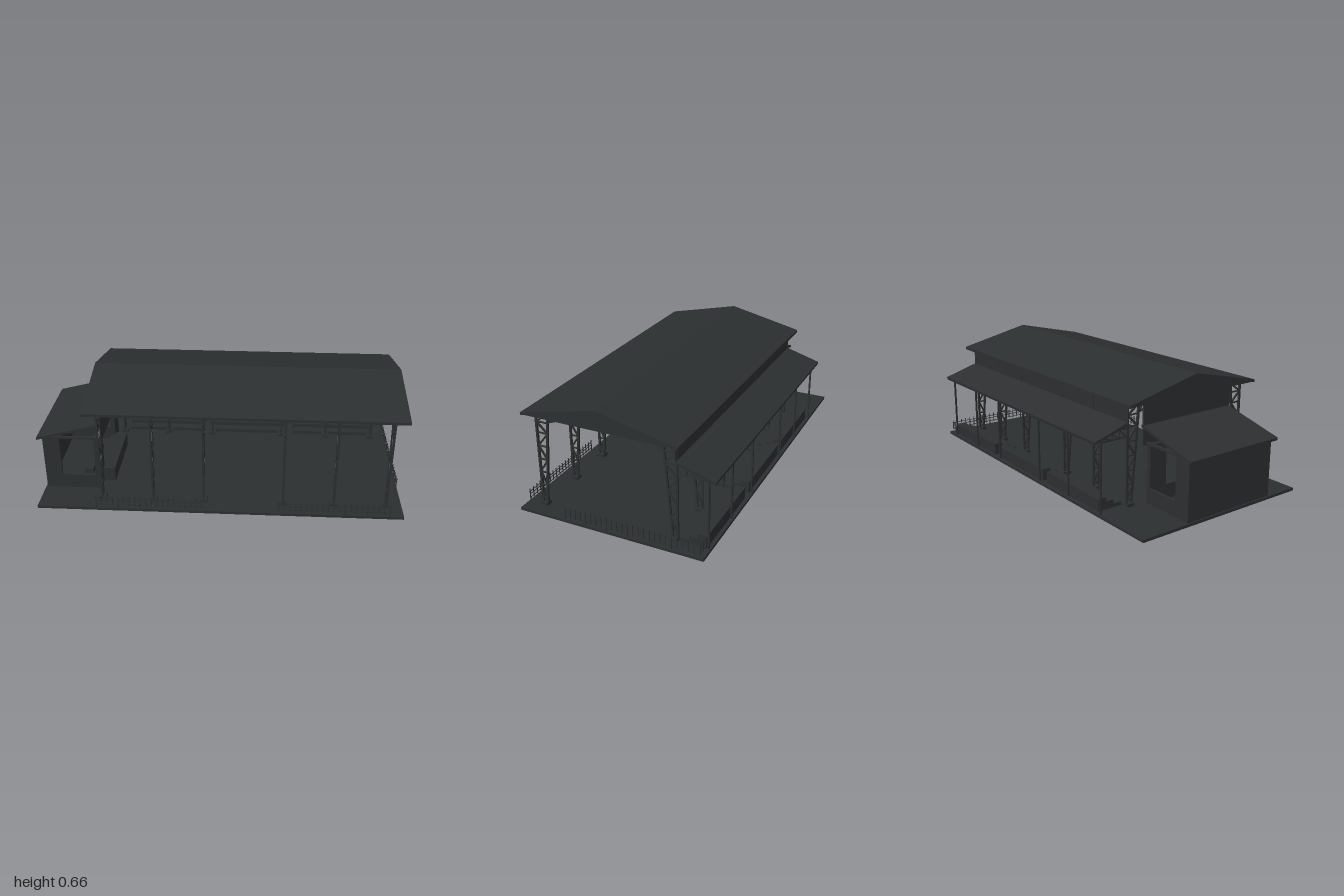
import * as THREE from 'three';

const material = new THREE.MeshStandardMaterial({ color: 0x2c2f30, flatShading: true, side: THREE.DoubleSide });
const UNIT = new THREE.BoxGeometry(1, 1, 1);
const FRAMES = [-0.64, -0.36, -0.085, 0.345, 0.62, 0.9];
const RIDGE_Z = 0.06;

function group(parent, name) {
  const g = new THREE.Group();
  g.name = name;
  parent.add(g);
  return g;
}

// Box given by its minimum and maximum on each axis
function box(parent, name, x0, x1, y0, y1, z0, z1) {
  const m = new THREE.Mesh(UNIT, material);
  m.name = name;
  m.scale.set(x1 - x0, y1 - y0, z1 - z0);
  m.position.set((x0 + x1) / 2, (y0 + y1) / 2, (z0 + z1) / 2);
  parent.add(m);
  return m;
}

// Square bar between two points
function bar(parent, name, a, b, w = 0.01) {
  const p = new THREE.Vector3(...a), q = new THREE.Vector3(...b);
  const m = new THREE.Mesh(UNIT, material);
  m.name = name;
  m.scale.set(w, w, p.distanceTo(q));
  m.position.copy(p).add(q).multiplyScalar(0.5);
  m.lookAt(q);
  parent.add(m);
}

// Outline in (z, y) extruded along x
function sideProfile(parent, name, pts, x0, x1) {
  const shape = new THREE.Shape(pts.map(([z, y]) => new THREE.Vector2(-z, y)));
  const geo = new THREE.ExtrudeGeometry(shape, { depth: x1 - x0, bevelEnabled: false });
  geo.rotateY(Math.PI / 2);
  geo.translate(x0, 0, 0);
  const m = new THREE.Mesh(geo, material);
  m.name = name;
  parent.add(m);
}

// Outline in (x, y) extruded along z
function frontProfile(parent, name, pts, z0, z1) {
  const shape = new THREE.Shape(pts.map(([x, y]) => new THREE.Vector2(x, y)));
  const geo = new THREE.ExtrudeGeometry(shape, { depth: z1 - z0, bevelEnabled: false });
  geo.translate(0, 0, z0);
  const m = new THREE.Mesh(geo, material);
  m.name = name;
  parent.add(m);
}

// Tapered lattice column; s = 1 front, -1 back
function latticeColumn(parent, x, s) {
  const g = group(parent, s > 0 ? 'frontColumn' : 'backColumn');
  const z = d => RIDGE_Z + s * d;
  const inner = y => 0.36 - 0.045 * (y - 0.03) / 0.515;
  const outer = 0.386;
  box(g, 'footing', x - 0.02, x + 0.02, 0.015, 0.032, z(0.372) - 0.02, z(0.372) + 0.02);
  bar(g, 'outerLeg', [x, 0.03, z(outer)], [x, 0.555, z(outer)], 0.011);
  bar(g, 'innerLeg', [x, 0.03, z(inner(0.03))], [x, 0.545, z(inner(0.545))], 0.011);
  const levels = [0.05, 0.13, 0.205, 0.28, 0.355, 0.43, 0.49, 0.54];
  levels.forEach((y, i) => {
    bar(g, 'rung', [x, y, z(outer)], [x, y, z(inner(y))], 0.007);
    if (i === 0) return;
    const below = levels[i - 1];
    const from = i % 2 ? outer : inner(below), to = i % 2 ? inner(y) : outer;
    bar(g, 'diagonal', [x, below, z(from)], [x, y, z(to)], 0.008);
  });
}

// Half of a roof truss, from column to ridge
function halfTruss(parent, x, s) {
  const g = group(parent, 'roofTruss');
  const z = d => RIDGE_Z + s * d;
  const top = d => 0.634 - 0.236 * d;
  const low = d => 0.615 - 0.375 * d;
  bar(g, 'topChord', [x, top(0.386), z(0.386)], [x, top(0), z(0)], 0.008);
  bar(g, 'bottomChord', [x, low(0.318), z(0.318)], [x, low(0), z(0)], 0.008);
  for (let i = 0; i < 6; i++) {
    const a = 0.318 - i * 0.053, b = a - 0.053;
    bar(g, 'strut', [x, low(a), z(a)], [x, top(a), z(a)], 0.005);
    bar(g, 'brace', [x, low(a), z(a)], [x, top(b), z(b)], 0.006);
  }
}

// Fence from a to b in (x, z)
function fence(parent, name, a, b) {
  const g = group(parent, name);
  const n = Math.round(Math.hypot(b[0] - a[0], b[1] - a[1]) / 0.03);
  for (const y of [0.035, 0.055, 0.07]) bar(g, 'rail', [a[0], y, a[1]], [b[0], y, b[1]], 0.003);
  for (let i = 0; i <= n; i++) {
    const x = a[0] + (b[0] - a[0]) * i / n, z = a[1] + (b[1] - a[1]) * i / n;
    bar(g, 'picket', [x, i % 4 ? 0.028 : 0.012, z], [x, 0.085, z], 0.004);
  }
}

export function createModel() {
  const model = new THREE.Group();
  model.name = 'openPavilion';
  box(model, 'floorSlab', -0.98, 0.985, 0, 0.015, -0.5, 0.53);

  // Main gable roof with closed gable ends
  const roof = group(model, 'mainRoof');
  sideProfile(roof, 'roofSheets', [[0.485, 0.545], [0.485, 0.56], [RIDGE_Z, 0.656], [-0.365, 0.56],
    [-0.365, 0.545], [RIDGE_Z, 0.64]], -0.71, 0.97);
  for (const x of [-0.7, 0.955]) {
    sideProfile(roof, 'gablePanel', [[0.48, 0.545], [RIDGE_Z, 0.641], [-0.36, 0.545]], x, x + 0.005);
  }
  for (const s of [1, -1]) {
    for (const d of [0.08, 0.16, 0.24, 0.32, 0.385]) {
      const y = 0.636 - 0.226 * d, z = RIDGE_Z + s * d;
      bar(roof, 'purlin', [-0.7, y, z], [0.955, y, z], 0.007);
    }
  }

  // Frames: columns and trusses
  const frames = group(model, 'frames');
  for (const x of FRAMES) {
    for (const s of [1, -1]) {
      latticeColumn(frames, x, s);
      halfTruss(frames, x, s);
    }
  }

  // Lean-to along the back
  const leanTo = group(model, 'leanTo');
  sideProfile(leanTo, 'leanToRoof', [[-0.325, 0.443], [-0.325, 0.458], [-0.53, 0.396], [-0.528, 0.381]], -0.65, 0.92);
  box(leanTo, 'upperBackWall', -0.65, 0.92, 0.45, 0.55, -0.33, -0.325);
  for (const x of FRAMES) {
    bar(leanTo, 'post', [x, 0.015, -0.488], [x, 0.395, -0.488], 0.009);
    bar(leanTo, 'tieBeam', [x, 0.384, -0.325], [x, 0.384, -0.49], 0.008);
    bar(leanTo, 'rafter', [x, 0.443, -0.325], [x, 0.388, -0.51], 0.008);
    for (let i = 0; i < 3; i++) {
      const z = -0.335 - i * 0.045, zn = z - 0.04;
      bar(leanTo, 'strut', [x, 0.384, z], [x, 0.44 + (zn + 0.325) * 0.3, zn], 0.006);
      bar(leanTo, 'upright', [x, 0.384, zn], [x, 0.44 + (zn + 0.325) * 0.3, zn], 0.005);
    }
  }

  // Stepped benches under the lean-to
  for (const [x0, x1] of [[-0.61, -0.145], [-0.105, 0.365], [0.42, 0.9]]) {
    sideProfile(model, 'steppedBench', [[-0.335, 0.015], [-0.335, 0.035], [-0.385, 0.035], [-0.385, 0.058],
      [-0.43, 0.058], [-0.43, 0.08], [-0.48, 0.08], [-0.48, 0.015]], x0, x1);
  }

  // Side room with wide openings
  const room = group(model, 'sideRoom');
  box(room, 'endWall', -0.972, -0.957, 0.015, 0.325, -0.22, 0.34);
  for (const [z0, z1] of [[0.325, 0.34], [-0.22, -0.205]]) {
    frontProfile(room, 'sideWall', [[-0.97, 0.015], [-0.665, 0.015], [-0.665, 0.33], [-0.692, 0.33],
      [-0.692, 0.098], [-0.88, 0.098], [-0.88, 0.33], [-0.97, 0.33]], z0, z1);
    box(room, 'topBeam', -0.985, -0.65, 0.325, 0.337, z0, z1);
  }
  box(room, 'frontPier', -0.692, -0.665, 0.015, 0.33, 0.235, 0.34);
  box(room, 'backPier', -0.692, -0.665, 0.015, 0.33, -0.22, -0.115);
  box(room, 'counter', -0.69, -0.6, 0.015, 0.098, -0.145, 0.265);
  box(room, 'innerStep', -0.79, -0.74, 0.015, 0.05, -0.1, 0.2);
  frontProfile(room, 'roomRoof', [[-1, 0.323], [-0.645, 0.414], [-0.645, 0.428], [-1, 0.337]], -0.24, 0.355);
  box(room, 'upperEndWall', -0.655, -0.645, 0.32, 0.55, -0.235, 0.358);

  // Fences
  fence(model, 'frontFence', [-0.66, 0.522], [-0.09, 0.522]);
  fence(model, 'frontFence', [0.32, 0.522], [0.91, 0.522]);
  fence(model, 'sideFence', [0.978, 0.262], [0.978, -0.478]);
  fence(model, 'cornerFence', [0.91, -0.478], [0.978, -0.478]);
  return model;
}
